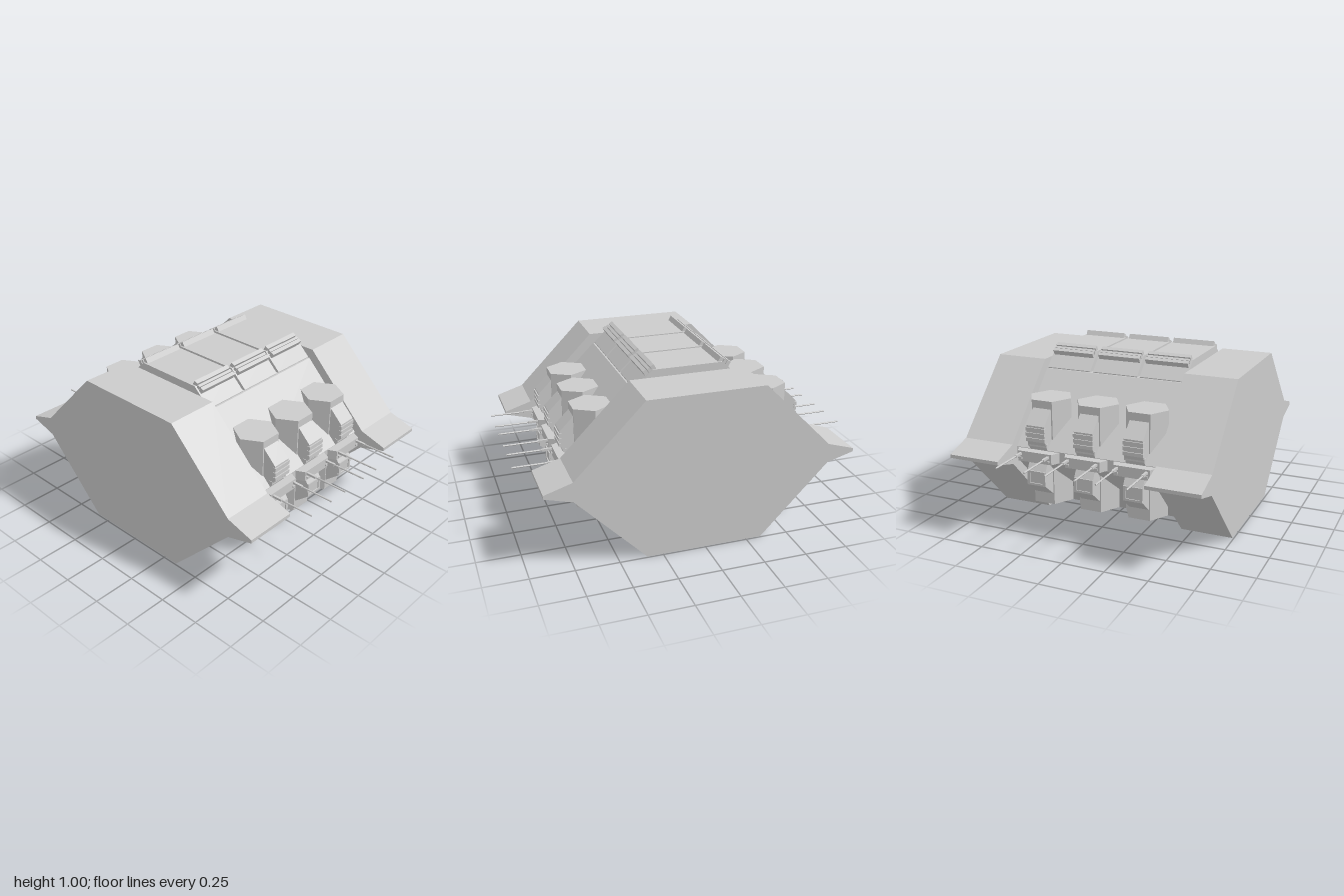
import * as THREE from 'three';

const grey = new THREE.MeshStandardMaterial({ color: 0xcccccc, flatShading: true });

function add(parent, name, geometry, x = 0, y = 0, z = 0) {
  const mesh = new THREE.Mesh(geometry, grey);
  mesh.name = name;
  mesh.position.set(x, y, z);
  parent.add(mesh);
  return mesh;
}

const box = (w, h, d) => new THREE.BoxGeometry(w, h, d);

// Prism along z, centred on z = 0
function prism(points, depth) {
  const shape = new THREE.Shape(points.map(([x, y]) => new THREE.Vector2(x, y)));
  const g = new THREE.ExtrudeGeometry(shape, { depth, bevelEnabled: false });
  return g.translate(0, 0, -depth / 2);
}

// Closes a right-hand half profile with its mirror image
const mirrored = (half) => [...half, ...half.map(([x, y]) => [-x, y]).reverse()];

// One side weapon station, facing +x
function createStation() {
  const station = new THREE.Group();

  // Hexagonal column, points along z
  const column = new THREE.CylinderGeometry(0.127, 0.127, 0.61, 6);
  add(station, 'hexColumn', column, 0.53, 0.465, 0);

  // Upper and lower shoulder blocks
  add(station, 'upperShoulder', prism([[0.55, 0.5], [0.69, 0.5], [0.72, 0.56], [0.72, 0.645], [0.64, 0.725], [0.55, 0.725]], 0.112));
  add(station, 'lowerShoulder', prism([[0.55, 0.225], [0.64, 0.225], [0.725, 0.295], [0.725, 0.38], [0.69, 0.44], [0.55, 0.44]], 0.115));

  // Ribs on the upper shoulder, framed panel on the lower one
  for (const y of [0.625, 0.595, 0.565]) add(station, 'rib', box(0.02, 0.02, 0.118), 0.717, y, 0);
  add(station, 'rib', box(0.02, 0.02, 0.118), 0.695, 0.53, 0);
  for (const s of [-1, 1]) {
    add(station, 'panelFrame', box(0.012, 0.085, 0.016), 0.725, 0.34, s * 0.048);
    add(station, 'panelFrame', box(0.012, 0.012, 0.09), 0.725, 0.34 + s * 0.036, 0);
  }

  // Waist bracket with bevelled corners
  const plan = new THREE.Shape([[0.6, -0.13], [0.69, -0.13], [0.74, -0.105], [0.74, 0.105], [0.69, 0.13], [0.6, 0.13]]
    .map(([x, z]) => new THREE.Vector2(x, z)));
  const bracket = new THREE.ExtrudeGeometry(plan, { depth: 0.06, bevelEnabled: false });
  bracket.rotateX(-Math.PI / 2);
  add(station, 'bracket', bracket, 0, 0.437, 0);

  // Twin barrels with sleeves and lower ports
  for (const z of [-0.086, 0.086]) {
    const barrel = new THREE.CylinderGeometry(0.005, 0.005, 0.28, 6).rotateZ(Math.PI / 2);
    add(station, 'barrel', barrel, 0.86, 0.481, z);
    add(station, 'barrelSleeve', box(0.07, 0.013, 0.014), 0.765, 0.481, z);
    add(station, 'lowerPort', box(0.01, 0.012, 0.014), 0.742, 0.455, z);
  }
  return station;
}

export function createModel() {
  const model = new THREE.Group();
  model.name = 'armouredHull';

  // End bulkheads with side fins
  const endProfile = mirrored([[0.34, 0], [0.74, 0.41], [0.9, 0.455], [0.9, 0.475], [0.74, 0.525], [0.34, 0.93]]);
  for (const s of [-1, 1]) add(model, 'endBulkhead', prism(endProfile, 0.308), 0, 0, s * 0.588);

  // Recessed middle hull
  add(model, 'middleHull', prism(mirrored([[0.32, 0.06], [0.69, 0.43], [0.69, 0.5], [0.32, 0.87]]), 0.88));

  for (const z of [-0.295, 0, 0.295]) {
    // Raised roof panel
    add(model, 'roofPanel', prism(mirrored([[0.31, 0.86], [0.31, 0.875], [0.205, 0.975]]), 0.278), 0, 0, z);

    for (const s of [-1, 1]) {
      // Tilted roof rails, a pair on each edge
      const rails = new THREE.Group();
      rails.name = 'roofRails';
      rails.position.set(s * 0.217, 0.97, z);
      rails.rotation.z = -s * Math.PI / 6;
      for (const [x, w, h] of [[-0.022, 0.024, 0.036], [0.004, 0.016, 0.03], [0.028, 0.022, 0.036]]) {
        add(rails, 'rail', box(w, h, 0.258), s * x, 0, 0);
      }
      model.add(rails);

      // Weapon stations on both flanks
      const station = createStation();
      station.name = s > 0 ? 'leftStation' : 'rightStation';
      station.position.z = z;
      if (s < 0) station.rotation.y = Math.PI;
      model.add(station);
    }
  }
  return model;
}
